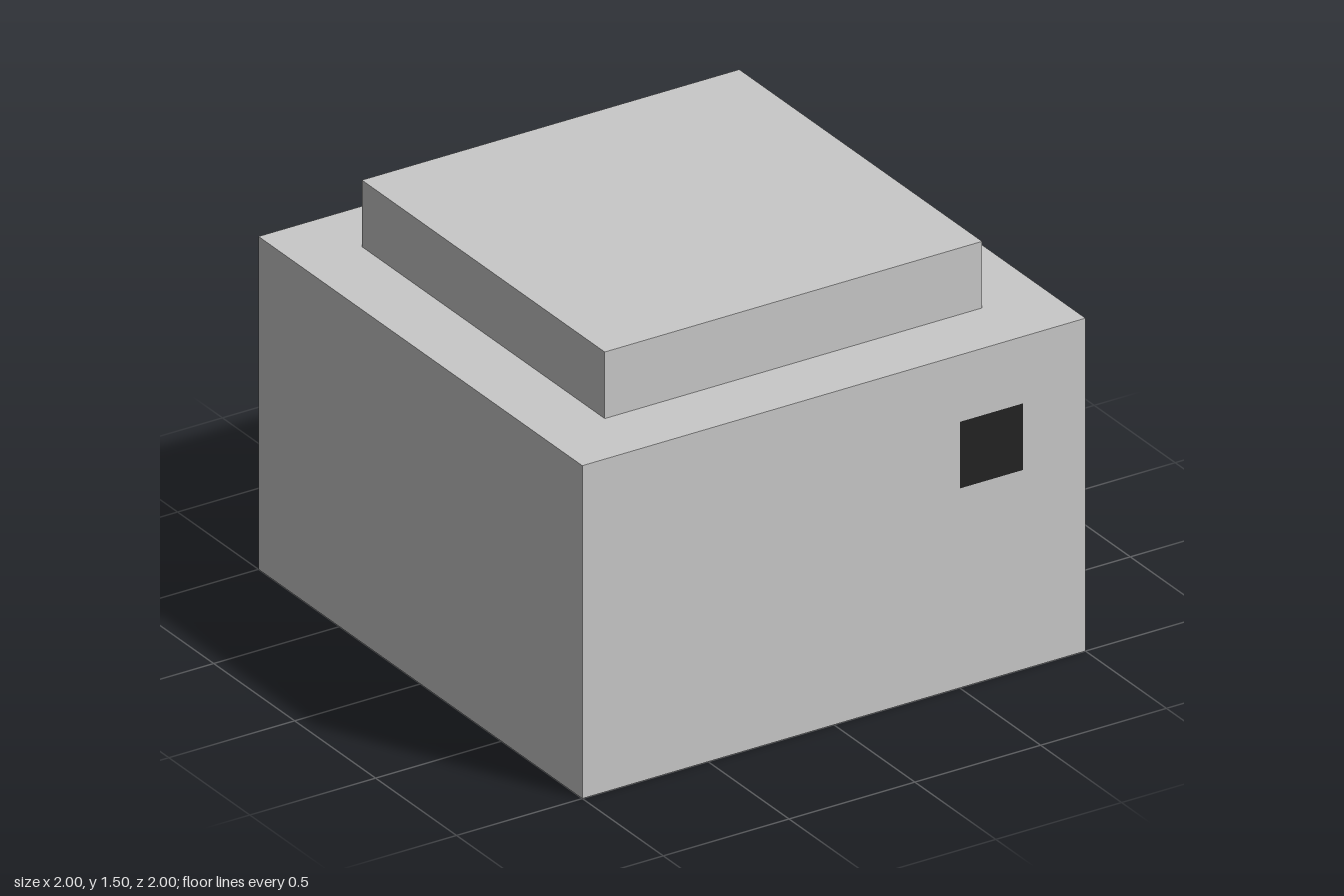
import * as THREE from 'three';

export function createModel() {
  const model = new THREE.Group();
  const grey = new THREE.MeshStandardMaterial({ color: 0xc9c9c9 });
  grey.name = 'light grey';
  const black = new THREE.MeshStandardMaterial({ color: 0x222222 });
  black.name = 'near black';

  const add = (name, geometry, material, x, y, z) => {
    const mesh = new THREE.Mesh(geometry, material);
    mesh.name = name;
    mesh.position.set(x, y, z);
    model.add(mesh);
    return mesh;
  };

  // Main block with a smaller slab stacked on top
  add('body', new THREE.BoxGeometry(2, 1.25, 2), grey, 0, 0.625, 0);
  add('topSlab', new THREE.BoxGeometry(1.5, 0.25, 1.5), grey, 0, 1.375, 0);

  // Square dark patches, one on the front and one on the back, both on the left side
  const patch = new THREE.PlaneGeometry(0.25, 0.25);
  add('frontPatch', patch, black, 0.625, 0.875, 1.002);
  add('backPatch', patch, black, 0.625, 0.875, -1.002).rotation.y = Math.PI;

  return model;
}
